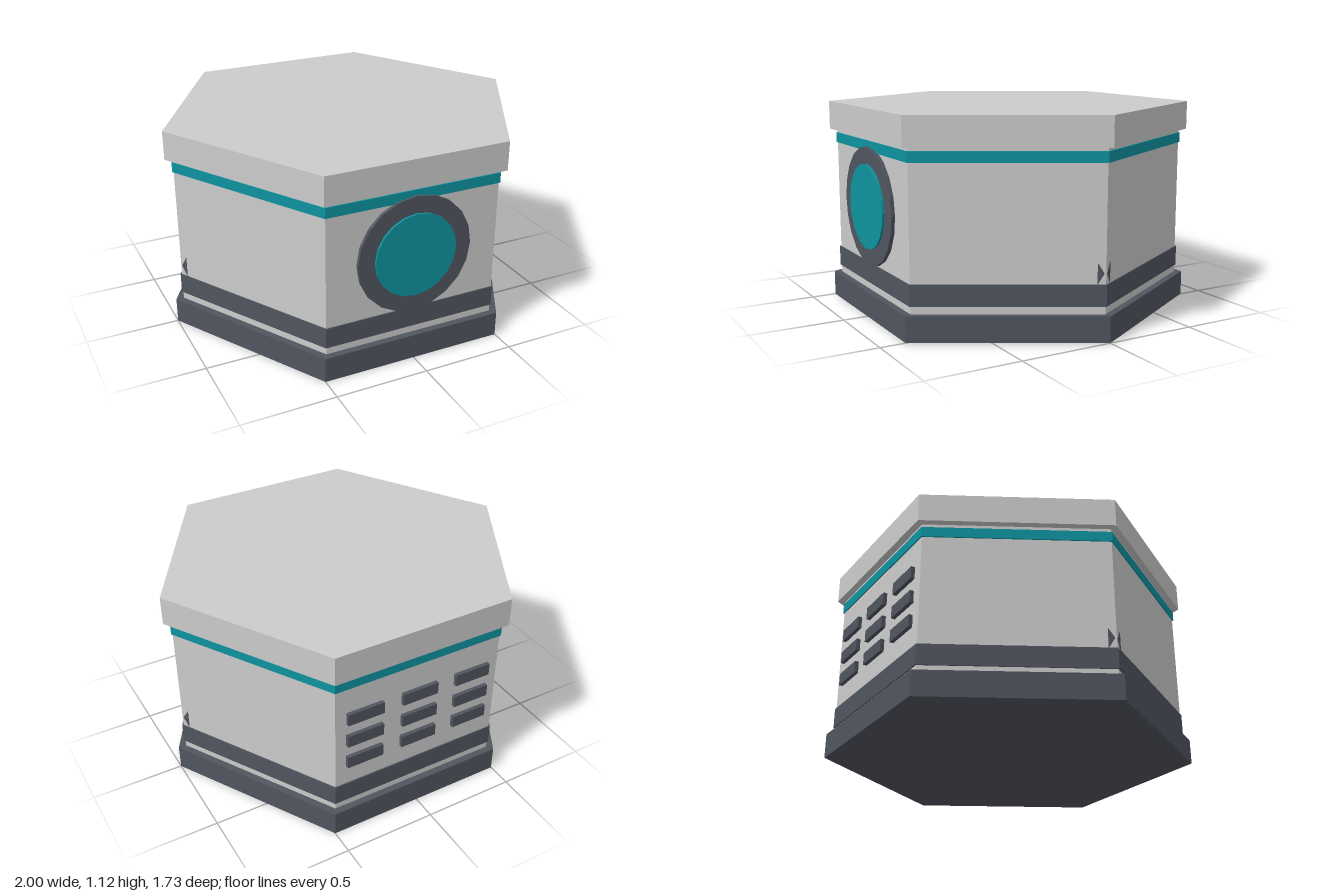
import * as THREE from 'three';

const material = (color) => new THREE.MeshStandardMaterial({ color, flatShading: true });

export function createModel() {
  const group = new THREE.Group();
  const grey = material(0xcccccc);
  const dark = material(0x50555f);
  const teal = material(0x0e93a0);

  function add(name, geometry, mat, parent = group) {
    const mesh = new THREE.Mesh(geometry, mat);
    mesh.name = name;
    parent.add(mesh);
    return mesh;
  }

  // Hexagonal layers with corners on the x axis
  function hexLayer(name, radius, y0, y1, mat) {
    const geometry = new THREE.CylinderGeometry(radius, radius, y1 - y0, 6, 1, false, Math.PI / 2);
    add(name, geometry, mat).position.y = (y0 + y1) / 2;
  }
  const bodyRadius = 0.957;
  const faceZ = bodyRadius * Math.sqrt(3) / 2;
  hexLayer('base', 1, 0, 0.135, dark);
  hexLayer('body', bodyRadius, 0.135, 0.96, grey);
  hexLayer('lowerBand', 0.965, 0.175, 0.285, dark);
  hexLayer('accentBand', 0.965, 0.885, 0.94, teal);
  hexLayer('cap', 1, 0.96, 1.115, grey);

  // Round window on the front face
  function disc(name, radius, z0, z1, mat) {
    const geometry = new THREE.CylinderGeometry(radius, radius, z1 - z0, 20).rotateX(Math.PI / 2);
    add(name, geometry, mat).position.set(0, 0.595, (z0 + z1) / 2);
  }
  disc('windowFrame', 0.316, faceZ - 0.02, 0.848, dark);
  disc('windowGlass', 0.226, faceZ - 0.02, 0.86, teal);

  // Grid of vent slats on the back face
  const vents = new THREE.Group();
  vents.name = 'vents';
  group.add(vents);
  const slat = new THREE.BoxGeometry(0.205, 0.067, 0.04);
  for (const x of [-0.315, 0, 0.315]) {
    for (const y of [0.435, 0.57, 0.706]) {
      add('ventSlat', slat, dark, vents).position.set(x, y, -0.83);
    }
  }

  // Small triangular markers either side of the two side corners,
  // lying on the body faces and pointing at the corner
  const triangle = new THREE.Shape([
    new THREE.Vector2(0.008, 0),
    new THREE.Vector2(0.042, -0.055),
    new THREE.Vector2(0.042, 0.055),
  ]);
  const marker = new THREE.ExtrudeGeometry(triangle, { depth: 0.004, bevelEnabled: false });
  marker.translate(0, 0, -0.002);
  for (const side of [0, Math.PI]) {
    const corner = new THREE.Group();
    corner.name = side ? 'rightCornerMarkers' : 'leftCornerMarkers';
    corner.rotation.y = side;
    group.add(corner);
    for (const s of [1, -1]) {
      // Local x runs along the face, away from the corner
      const mesh = add('cornerMarker', marker, dark, corner);
      mesh.position.set(bodyRadius, 0.34, 0);
      mesh.rotation.y = -s * Math.PI * 2 / 3;
    }
  }
  return group;
}
